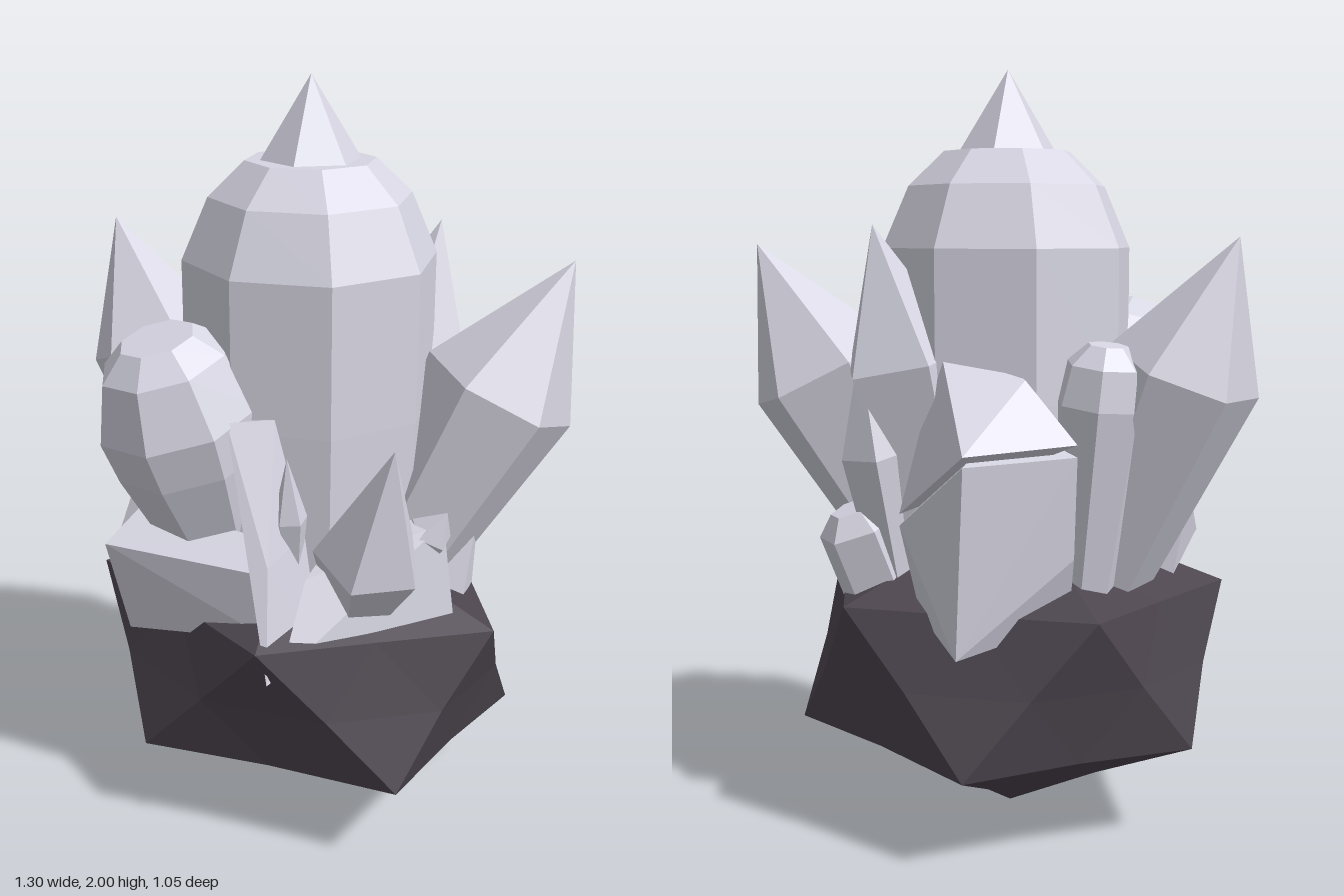
import * as THREE from 'three';
import { ConvexGeometry } from 'three/addons/geometries/ConvexGeometry.js';

const V = (p) => new THREE.Vector3(...p);

export function createModel() {
  const model = new THREE.Group();
  model.name = 'crystalCluster';

  const crystalMat = new THREE.MeshStandardMaterial({ color: 0xd6d5e2, flatShading: true });
  crystalMat.name = 'pale crystal';
  const rockMat = new THREE.MeshStandardMaterial({ color: 0x4c454e, flatShading: true });
  rockMat.name = 'dark rock';

  const add = (name, geometry, material = crystalMat) => {
    const mesh = new THREE.Mesh(geometry, material);
    mesh.name = name;
    model.add(mesh);
    return mesh;
  };

  // Turned crystal: profile of [radius, distance] pairs along the axis from base to tip
  const turned = (name, base, tip, profile, sides, spin = 0) => {
    const a = V(base), axis = V(tip).sub(a);
    const pts = profile.map(([r, h]) => new THREE.Vector2(r, h));
    const mesh = add(name, new THREE.LatheGeometry(pts, sides).rotateY(spin));
    mesh.position.copy(a);
    mesh.quaternion.setFromUnitVectors(new THREE.Vector3(0, 1, 0), axis.normalize());
  };

  // Pointed crystal: widens from the base to a shoulder, then comes to a point
  const pointed = (name, base, tip, rBase, rShoulder, at, sides = 6, spin = 0) => {
    const len = V(base).distanceTo(V(tip));
    turned(name, base, tip, [[0, 0], [rBase, 0], [rShoulder, len * at], [0, len]], sides, spin);
  };

  // Faceted block through a few corner points
  const block = (name, corners) => add(name, new ConvexGeometry(corners.map(V)));

  // Rock: uneven icosahedron with slightly sunken edge midpoints
  const top = V([0, 0.87, 0]), bottom = V([0.015, 0, -0.02]);
  const upper = [
    [0.605, 0.63, -0.03], [0.2, 0.64, -0.51], [-0.425, 0.64, -0.3], [-0.485, 0.64, 0.275], [0.21, 0.65, 0.47],
  ].map(V);
  const lower = [
    [0.49, 0.25, -0.34], [-0.17, 0.25, -0.52], [-0.545, 0.26, -0.02], [-0.175, 0.25, 0.47], [0.505, 0.25, 0.265],
  ].map(V);
  const centre = V([0.01, 0.45, -0.02]);
  const mid = (a, b) => a.clone().lerp(b, 0.5).sub(centre).multiplyScalar(0.98).add(centre);
  const rock = [];
  const facet = (a, b, c) => {
    const ab = mid(a, b), bc = mid(b, c), ca = mid(c, a);
    rock.push(a, ab, ca, ab, b, bc, ca, bc, c, ab, bc, ca);
  };
  for (let i = 0; i < 5; i++) {
    const j = (i + 1) % 5;
    facet(top, upper[i], upper[j]);
    facet(upper[i], lower[i], upper[j]);
    facet(lower[i], lower[j], upper[j]);
    facet(bottom, lower[j], lower[i]);
  }
  const rockGeo = new THREE.BufferGeometry().setFromPoints(rock);
  rockGeo.computeVertexNormals();
  add('rockBase', rockGeo, rockMat);

  // Central column with domed shoulder and a six-sided point
  turned('mainColumn', [0.016, 0.55, -0.025], [0.016, 2, -0.025],
    [[0, 0], [0.32, 0], [0.335, 0.6], [0.335, 0.99], [0.265, 1.15], [0.17, 1.24], [0, 1.24]], 8);
  turned('mainPoint', [0.016, 1.78, -0.025], [0.016, 2, -0.025],
    [[0, 0], [0.137, 0], [0, 0.22]], 6, 0.3);

  // Blunt, rounded crystals
  turned('frontBluntCrystal', [-0.1, 0.72, 0.19], [-0.165, 1.39, 0.38],
    [[0, 0], [0.12, 0], [0.21, 0.36], [0.225, 0.48], [0.17, 0.63], [0.1, 0.69], [0, 0.69]], 8, 0.3);
  turned('backBluntCrystal', [-0.28, 0.66, -0.13], [-0.36, 1.32, -0.15],
    [[0, 0], [0.08, 0], [0.12, 0.5], [0.1, 0.6], [0.05, 0.65], [0, 0.65]], 7);

  // Tall pointed crystals
  pointed('leftwardCrystal', [-0.23, 0.6, -0.01], [-0.63, 1.57, 0.02], 0.12, 0.2, 0.655);
  pointed('rightwardCrystal', [0.22, 0.6, -0.06], [0.61, 1.55, -0.35], 0.12, 0.21, 0.64);
  pointed('backTallCrystal', [0.07, 0.6, -0.19], [0.2, 1.6, -0.37], 0.11, 0.17, 0.65, 5, 0.4);
  pointed('backSlimCrystal', [0.17, 0.62, -0.3], [0.2, 1.29, -0.43], 0.06, 0.095, 0.6, 5);
  pointed('frontSideCrystal', [0.27, 0.6, 0.13], [0.46, 1.18, 0.24], 0.05, 0.145, 0.42, 5, 0.3);

  // Small spikes around the base
  [
    [[0.18, 0.78, 0.27], [0.19, 1.12, 0.31], 0.02, 0.045, 0.5],
    [[0.32, 0.56, -0.14], [0.46, 0.88, -0.18], 0.09, 0.1, 0.35],
    [[0.34, 0.75, 0], [0.47, 0.94, 0], 0.04, 0.06, 0.65],
  ].forEach(([base, tip, r0, r1, at], i) => pointed(`smallSpike${i + 1}`, base, tip, r0, r1, at, 5));
  turned('backStump', [0.21, 0.58, -0.29], [0.27, 0.88, -0.39],
    [[0, 0], [0.11, 0], [0.11, 0.26], [0.06, 0.31], [0, 0.31]], 6);

  // Back block in two pieces with a narrow slanting crack between them
  block('backBlockLower', [
    [-0.14, 0.55, -0.5], [-0.33, 0.78, -0.26], [-0.28, 0.6, -0.2], [0.04, 0.62, -0.4], [0, 0.6, -0.1],
    [-0.17, 1.03, -0.51], [-0.35, 1.04, -0.28], [0.08, 0.85, -0.43], [-0.05, 1.1, -0.15],
  ]);
  block('backBlockUpper', [
    [-0.17, 1.055, -0.51], [-0.35, 1.07, -0.28], [0.08, 0.88, -0.43], [-0.05, 1.13, -0.15],
    [-0.2, 1.22, -0.28], [0.02, 1.29, -0.33], [0, 1.28, -0.15],
  ]);

  // Front slab, upright shard and low side blocks
  block('frontSlab', [
    [-0.27, 0.83, 0.49], [0.19, 0.83, 0.39], [-0.26, 0.9, 0.35], [0.19, 0.88, 0.3],
    [-0.26, 0.56, 0.42], [0.18, 0.64, 0.37], [-0.2, 0.6, 0.15], [0.18, 0.6, 0.15],
  ]);
  block('frontShard', [
    [0.05, 1.2, 0.37], [0.13, 1.2, 0.28], [0.06, 1.18, 0.26], [0.2, 0.9, 0.25],
    [0.19, 0.85, 0.39], [0.23, 0.56, 0.45], [0.25, 0.6, 0.25], [0.05, 0.6, 0.25],
  ]);
  block('sideBlock', [
    [0.25, 0.58, 0.42], [0.5, 0.65, 0.0], [0.46, 0.91, 0.0], [0.24, 0.8, 0.3],
    [0.1, 0.6, 0], [0.2, 0.88, 0.05],
  ]);
  block('leftWedge', [
    [-0.43, 0.9, 0.18], [-0.24, 1.0, 0.2], [-0.38, 0.76, 0.33], [-0.24, 0.7, 0.3],
    [-0.4, 0.67, 0.15], [-0.2, 0.66, 0.05],
  ]);

  return model;
}
